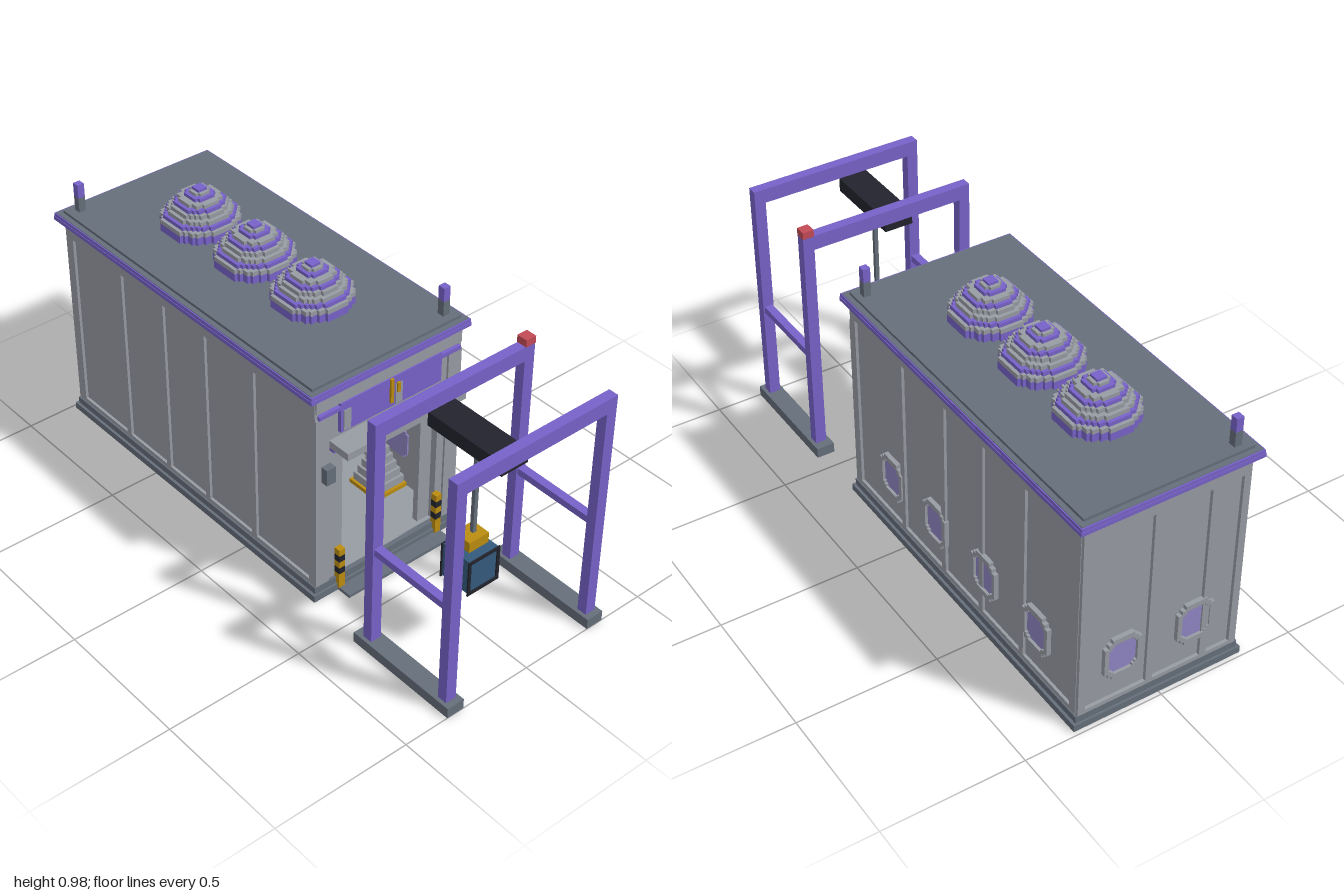
import * as THREE from 'three';
import { mergeGeometries } from 'three/addons/utils/BufferGeometryUtils.js';

const mat = (name, color) => {
  const m = new THREE.MeshStandardMaterial({ color });
  m.name = name;
  return m;
};

export function createModel() {
  const root = new THREE.Group();
  root.name = 'workshopWithGantry';
  const wall = mat('wallGrey', 0x979ba3), dark = mat('slateGrey', 0x656e7a), purple = mat('purple', 0x7762c8),
    glass = mat('lavenderGlass', 0x8f84c2), gold = mat('gold', 0xba8c10), black = mat('black', 0x22232c),
    blue = mat('blue', 0x345a7c), red = mat('red', 0xc24a55), brown = mat('brown', 0x8a5a2c);

  const group = (name, parent = root) => {
    const g = new THREE.Group();
    g.name = name;
    parent.add(g);
    return g;
  };
  // Box given by its extents on each axis
  const boxGeo = (x0, x1, y0, y1, z0, z1) =>
    new THREE.BoxGeometry(x1 - x0, y1 - y0, z1 - z0).translate((x0 + x1) / 2, (y0 + y1) / 2, (z0 + z1) / 2);
  const add = (parent, name, m, geo) => {
    const mesh = new THREE.Mesh(geo, m);
    mesh.name = name;
    parent.add(mesh);
    return mesh;
  };
  const box = (parent, name, m, ...e) => add(parent, name, m, boxGeo(...e));
  // Rectangular ring around the building
  const ring = (parent, name, m, x, z0, z1, t, y0, y1) => add(parent, name, m, mergeGeometries([
    boxGeo(-x, -x + t, y0, y1, z0, z1), boxGeo(x - t, x, y0, y1, z0, z1),
    boxGeo(-x + t, x - t, y0, y1, z0, z0 + t), boxGeo(-x + t, x - t, y0, y1, z1 - t, z1)]));

  // ---- Building shell
  const hall = group('building');
  ring(hall, 'baseSkirtLower', dark, 0.315, -0.985, 0.355, 0.03, 0, 0.025);
  ring(hall, 'baseSkirtUpper', dark, 0.305, -0.977, 0.347, 0.02, 0.025, 0.05);
  ring(hall, 'baseInnerTrim', purple, 0.285, -0.955, 0.325, 0.015, 0.015, 0.03);
  box(hall, 'floor', wall, -0.285, 0.285, 0.025, 0.05, -0.955, 0.33);
  box(hall, 'threshold', dark, -0.215, 0.225, 0, 0.012, 0.33, 0.41);
  for (const s of [-1, 1])
    box(hall, 'sideWall', wall, s * 0.2775 - 0.0125, s * 0.2775 + 0.0125, 0.04, 0.81, -0.965, 0.335);
  box(hall, 'backWall', wall, -0.265, 0.265, 0.04, 0.81, -0.965, -0.94);

  // Front wall with the doorway
  const front = new THREE.Shape([[-0.29, 0.04], [-0.215, 0.04], [-0.215, 0.58], [0.215, 0.58], [0.215, 0.04],
    [0.29, 0.04], [0.29, 0.81], [-0.29, 0.81]].map(p => new THREE.Vector2(...p)));
  add(hall, 'frontWall', wall, new THREE.ExtrudeGeometry(front, { depth: 0.025, bevelEnabled: false }).translate(0, 0, 0.312));

  // Ribs and rails on the walls
  const ribs = group('wallRibs', hall);
  for (const s of [-1, 1]) {
    const sx = (name, y0, y1, z0, z1) =>
      box(ribs, name, wall, s * 0.294 - 0.006, s * 0.294 + 0.006, y0, y1, z0, z1);
    for (const z of [0.325, 0.03, -0.22, -0.44, -0.67, -0.95]) {
      const w = Math.abs(z - 0.0) > 0.3 && z !== -0.44 && z !== -0.67 ? 0.015 : 0.012;
      sx('sideRib', 0.05, 0.735, z - w, z + w);
    }
    sx('upperRail', 0.735, 0.79, -0.965, 0.34);
    sx('lowerRail', 0.05, 0.065, -0.965, 0.34);
    box(ribs, 'frontPilaster', wall, s * 0.2725 - 0.0275, s * 0.2725 + 0.0275, 0.05, 0.72, 0.335, 0.345);
    box(ribs, 'purpleBand', purple, s * 0.245 - 0.045, s * 0.245 + 0.045, 0.72, 0.735, 0.335, 0.35);
    box(ribs, 'doorJamb', wall, s * 0.19 - 0.025, s * 0.19 + 0.025, 0.05, 0.57, 0.29, 0.312);
  }
  for (const x of [0.285, 0.035, -0.17, -0.285])
    box(ribs, 'backRib', wall, x - 0.013, x + 0.013, 0.05, 0.735, -0.977, -0.965);
  box(ribs, 'backUpperRail', wall, -0.298, 0.298, 0.735, 0.79, -0.977, -0.965);
  box(ribs, 'backLowerRail', wall, -0.298, 0.298, 0.05, 0.065, -0.977, -0.965);
  box(ribs, 'frontUpperRail', wall, -0.298, 0.298, 0.745, 0.79, 0.335, 0.345);

  // Stepped-corner windows
  const outline = (C, w, h, n) => {
    const q = [[w, h - 2 * n], [w - n, h - 2 * n], [w - n, h - n], [w - 2 * n, h - n], [w - 2 * n, h]];
    const flip = (sx, sy) => q.map(([x, y]) => new THREE.Vector2(x * sx, y * sy));
    return new C([...flip(1, 1), ...flip(-1, 1).reverse(), ...flip(-1, -1), ...flip(1, -1).reverse()]);
  };
  const frameShape = outline(THREE.Shape, 0.068, 0.08, 0.014);
  frameShape.holes.push(outline(THREE.Path, 0.052, 0.06, 0.009));
  const frameGeo = new THREE.ExtrudeGeometry(frameShape, { depth: 0.016, bevelEnabled: false });
  const glassGeo = new THREE.ExtrudeGeometry(outline(THREE.Shape, 0.052, 0.06, 0.009), { depth: 0.006, bevelEnabled: false });
  const windowAt = (x, z, turn) => {
    const w = group('window', hall);
    add(w, 'windowFrame', wall, frameGeo);
    add(w, 'windowGlass', glass, glassGeo);
    add(w, 'innerGlass', glass, glassGeo).position.z = -0.031;
    w.position.set(x, 0.225, z);
    w.rotation.y = turn;
  };
  for (const z of [0.1, -0.17, -0.46, -0.75]) windowAt(0.29, z, Math.PI / 2);
  for (const x of [-0.13, 0.14]) windowAt(x, -0.965, Math.PI);

  // ---- Roof
  const roof = group('roof');
  box(roof, 'cornice', wall, -0.3, 0.3, 0.79, 0.8, -0.977, 0.345);
  ring(roof, 'eaveTrim', purple, 0.326, -1, 0.356, 0.03, 0.798, 0.812);
  box(roof, 'roofSlab', dark, -0.32, 0.32, 0.805, 0.826, -0.993, 0.349);
  ring(roof, 'roofEdge', purple, 0.324, -0.998, 0.354, 0.01, 0.812, 0.824);
  box(roof, 'roofDeck', dark, -0.302, 0.302, 0.826, 0.836, -0.975, 0.331);
  for (const [x, z] of [[-0.256, -0.94], [0.266, 0.29]]) {
    box(roof, 'postBase', dark, x - 0.013, x + 0.013, 0.83, 0.89, z - 0.013, z + 0.013);
    box(roof, 'postCap', purple, x - 0.013, x + 0.013, 0.89, 0.94, z - 0.013, z + 0.013);
  }

  // Blocky domes: stacked discs made of rows of cells
  const cell = 0.012;
  const disc = (r, y0, y1) => {
    const rows = [], n = Math.round(r / cell);
    for (let i = -n; i <= n; i++) {
      const half = (Math.round(Math.sqrt(Math.max(0, (n + 0.4) ** 2 - i * i))) + 0.5) * cell;
      rows.push(boxGeo(-half, half, y0, y1, (i - 0.5) * cell, (i + 0.5) * cell));
    }
    return mergeGeometries(rows);
  };
  const layers = [[0.125, 0.018, purple], [0.122, 0.03, purple], [0.115, 0.046, wall], [0.108, 0.06, purple],
    [0.1, 0.075, wall], [0.086, 0.09, wall], [0.074, 0.103, purple], [0.058, 0.116, wall],
    [0.04, 0.128, purple], [0.024, 0.138, wall], [0.01, 0.147, purple]];
  for (const z of [-0.03, -0.32, -0.61]) {
    const dome = group('roofDome', roof);
    let y = 0;
    for (const [r, top, m] of layers) {
      add(dome, 'domeLayer', m, disc(r, y, top));
      y = top;
    }
    dome.position.set(0, 0.834, z);
  }

  // ---- Entrance
  const entry = group('entrance');
  box(entry, 'canopy', wall, -0.24, 0.25, 0.588, 0.615, 0.28, 0.425);
  box(entry, 'canopyTrim', purple, -0.24, 0.25, 0.578, 0.588, 0.28, 0.36);
  box(entry, 'signPanel', purple, -0.205, 0.21, 0.635, 0.745, 0.335, 0.35);
  box(entry, 'signBar', gold, -0.008, 0.004, 0.655, 0.745, 0.35, 0.358);
  box(entry, 'signBarShort', gold, 0.02, 0.032, 0.685, 0.72, 0.35, 0.358);
  for (const x of [-0.18, 0.03]) box(entry, 'signInset', wall, x - 0.014, x + 0.014, 0.64, 0.715, 0.348, 0.353);
  for (const s of [-1, 1]) {
    box(entry, 'wallLamp', dark, s * 0.26 - 0.018, s * 0.26 + 0.018, 0.475, 0.535, 0.34, 0.372);
    const x = s * 0.209 + 0.004;
    [0.01, 0.07, 0.095, 0.12, 0.145, 0.17].forEach((y, i, a) => {
      if (i < 5) box(entry, 'bollard', i % 2 ? black : gold, x - 0.012, x + 0.012, y, a[i + 1], 0.338, 0.362);
    });
  }

  // ---- Interior fittings
  const inside = group('interior');
  for (const [x0, x1] of [[-0.165, 0.017], [0.043, 0.2]]) {
    box(inside, 'wallCabinet', dark, x0, x1, 0.485, 0.555, -0.94, -0.9);
    box(inside, 'cabinetEdge', gold, x0, x1, 0.475, 0.485, -0.94, -0.9);
  }
  box(inside, 'pallet', gold, 0.12, 0.255, 0.06, 0.075, 0.02, 0.16);
  box(inside, 'palletFeet', brown, 0.13, 0.245, 0.05, 0.06, 0.03, 0.15);
  for (let i = 0; i < 6; i++) {
    const r = 0.06 - i * 0.009;
    box(inside, 'stackedPile', wall, 0.19 - r, 0.19 + r, 0.075 + i * 0.03, 0.105 + i * 0.03, 0.09 - r, 0.09 + r);
  }

  // ---- Gantry crane
  const gantry = group('gantry');
  for (const s of [-1, 1]) {
    const x = s * 0.3;
    box(gantry, 'foot', dark, x - 0.033, x + 0.033, 0, 0.038, 0.568, 1);
    for (const z of [0.618, 0.96])
      box(gantry, 'post', purple, x - 0.02, x + 0.02, 0.038, 0.837, z - 0.018, z + 0.018);
    box(gantry, 'sideBrace', purple, x - 0.015, x + 0.015, 0.393, 0.418, 0.636, 0.942);
  }
  for (const z of [0.618, 0.96])
    box(gantry, 'topBeam', purple, -0.32, 0.32, 0.837, 0.89, z - 0.018, z + 0.018);
  box(gantry, 'warningLight', red, 0.28, 0.32, 0.89, 0.916, 0.598, 0.638);
  box(gantry, 'hoistBeam', black, -0.112, -0.007, 0.787, 0.837, 0.632, 0.944);

  // Hanging load
  const load = group('hoistLoad', gantry);
  box(load, 'cable', dark, -0.06, -0.046, 0.445, 0.787, 0.78, 0.794);
  box(load, 'hookBlock', gold, -0.1, -0.02, 0.408, 0.446, 0.752, 0.822);
  box(load, 'crate', blue, -0.12, 0, 0.27, 0.396, 0.73, 0.845);
  for (const z of [0.726, 0.845]) {
    box(load, 'crateRail', black, -0.125, 0.005, 0.386, 0.397, z, z + 0.005);
    box(load, 'crateRail', black, -0.125, 0.005, 0.265, 0.276, z, z + 0.005);
    for (const x of [-0.125, -0.006])
      box(load, 'crateStile', black, x, x + 0.011, 0.276, 0.386, z, z + 0.005);
  }
  return root;
}
